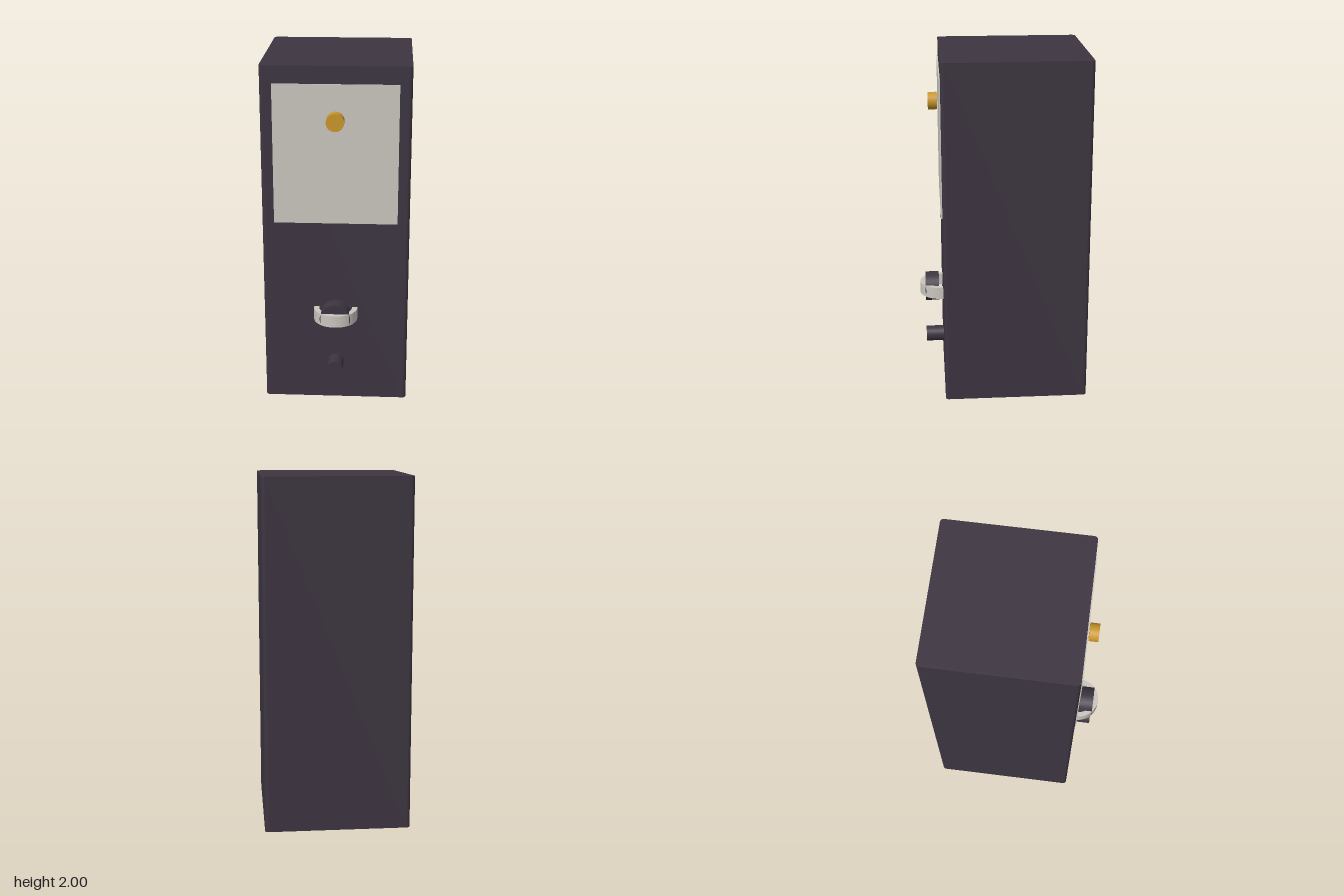
import * as THREE from 'three';

const mat = (name, color) => {
  const m = new THREE.MeshStandardMaterial({ color });
  m.name = name;
  return m;
};

export function createModel() {
  const dark = mat('dark plum', 0x3d3541);
  const cream = mat('warm grey', 0xcac6be);
  const gold = mat('amber', 0xc9962b);
  const group = new THREE.Group();

  const add = (name, geometry, material, x = 0, y = 0, z = 0) => {
    const mesh = new THREE.Mesh(geometry, material);
    mesh.name = name;
    mesh.position.set(x, y, z);
    group.add(mesh);
    return mesh;
  };

  // Round part whose axis points forward, from zBack to zFront
  const disc = (name, radius, y, zBack, zFront, material) => {
    const g = new THREE.CylinderGeometry(radius, radius, zFront - zBack, 40);
    g.rotateX(Math.PI / 2);
    add(name, g, material, 0, y, (zBack + zFront) / 2);
  };

  // Extrude a plan shape (x, -z) upwards
  const extrudeUp = (shape, depth) => {
    const g = new THREE.ExtrudeGeometry(shape, { depth, bevelEnabled: false, curveSegments: 32 });
    return g.rotateX(-Math.PI / 2);
  };

  // Tall cabinet with softened vertical edges
  const w = 0.416, b = 0.416, r = 0.02;
  const plan = new THREE.Shape();
  plan.absarc(w - r, b - r, r, 0, Math.PI / 2);
  plan.absarc(-w + r, b - r, r, Math.PI / 2, Math.PI);
  plan.absarc(-w + r, -b + r, r, Math.PI, Math.PI * 1.5);
  plan.absarc(w - r, -b + r, r, Math.PI * 1.5, Math.PI * 2);
  plan.closePath();
  add('cabinet', extrudeUp(plan, 2), dark, 0, 0, -0.068);

  // Thin front panel and its knob
  add('frontPanel', new THREE.BoxGeometry(0.696, 0.796, 0.009), cream, 0, 1.503, 0.3515);
  disc('panelKnob', 0.05, 1.703, 0.362, 0.415, gold);

  // Half-ring guard bowed out from the cabinet, with short legs into its face
  const guard = new THREE.Shape();
  guard.moveTo(0.125, 0.014);
  guard.lineTo(0.125, 0);
  guard.absarc(0, 0, 0.125, 0, -Math.PI, true);
  guard.lineTo(-0.125, 0.014);
  guard.lineTo(-0.095, 0.014);
  guard.absarc(0, 0, 0.095, -Math.PI, 0, false);
  guard.lineTo(0.095, 0.014);
  guard.closePath();
  add('guardRing', extrudeUp(guard, 0.07), cream, 0, 0.518, 0.359);

  // Dial held by the guard, and the lower button
  disc('dial', 0.087, 0.554, 0.372, 0.453, dark);
  disc('lowerButton', 0.046, 0.236, 0.34, 0.453, dark);

  return group;
}
